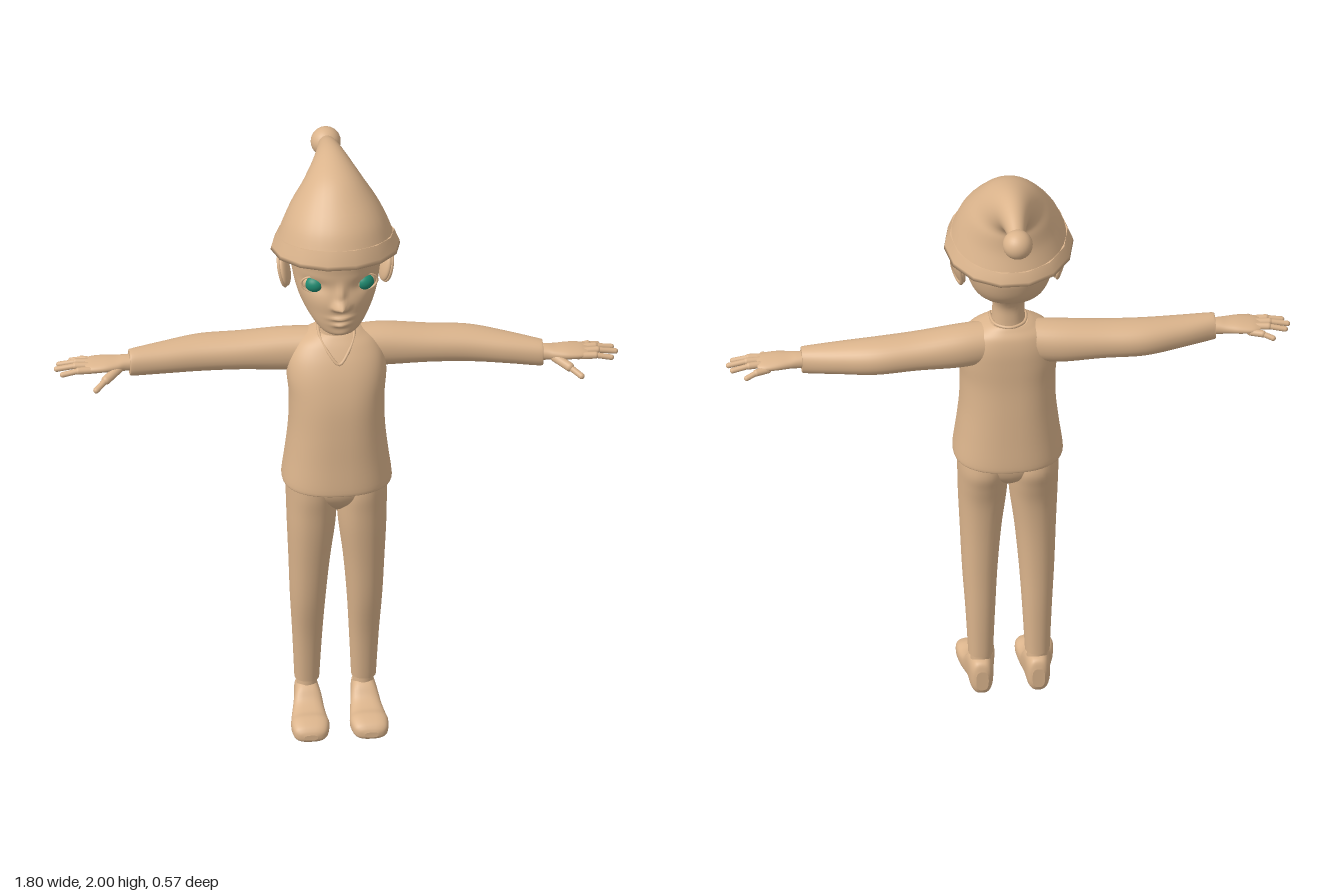
import * as THREE from 'three';

const tan = new THREE.MeshStandardMaterial({ color: 0xdbb48c });
tan.name = 'tan';
const teal = new THREE.MeshStandardMaterial({ color: 0x1f8a70 });
teal.name = 'teal';

// Smooth interpolation between cross-section rows
function smoothRows(rows, m) {
  const out = [], last = rows.length - 1;
  for (let i = 0; i < last; i++) {
    const [a, b, c, d] = [rows[Math.max(i - 1, 0)], rows[i], rows[i + 1], rows[Math.min(i + 2, last)]];
    for (let k = 0; k < m; k++) {
      const t = k / m;
      out.push(b.map((p, j) => {
        const cubic = 3 * (p - c[j]) + d[j] - a[j];
        const square = 2 * a[j] - 5 * p + 4 * c[j] - d[j];
        return p + 0.5 * t * (c[j] - a[j] + t * (square + t * cubic));
      }));
    }
  }
  out.push(rows[last]);
  return out;
}

// Skin a series of rings; ring(row, cos, sin) gives one point
function loft(rows, ring, { n = 32, m = 5, e = 2.2 } = {}) {
  const pos = [], idx = [], all = smoothRows(rows, m);
  const power = (v) => Math.sign(v) * Math.abs(v) ** (2 / e);
  const addRing = (row) => {
    for (let i = 0; i < n; i++) {
      const a = (i / n) * Math.PI * 2;
      pos.push(...ring(row, power(Math.cos(a)), power(Math.sin(a))));
    }
  };
  all.forEach(addRing);
  for (let j = 0; j < all.length - 1; j++) {
    for (let i = 0; i < n; i++) {
      const a = j * n + i, b = j * n + (i + 1) % n;
      idx.push(a, b, a + n, b, b + n, a + n);
    }
  }
  // End caps with their own vertices, so the edges stay crisp
  [all[0], all[all.length - 1]].forEach((row, end) => {
    const base = pos.length / 3;
    addRing(row);
    pos.push(...ring(row, 0, 0));
    for (let i = 0; i < n; i++) {
      const a = base + i, b = base + (i + 1) % n;
      idx.push(...(end ? [a, b, base + n] : [b, a, base + n]));
    }
  });
  // Turn the faces outward if the rings run the other way
  let volume = 0;
  const v = (i) => new THREE.Vector3().fromArray(pos, i * 3);
  for (let i = 0; i < idx.length; i += 3) volume += v(idx[i]).dot(v(idx[i + 1]).cross(v(idx[i + 2])));
  if (volume < 0) idx.reverse();
  const g = new THREE.BufferGeometry();
  g.setAttribute('position', new THREE.Float32BufferAttribute(pos, 3));
  g.setIndex(idx);
  g.computeVertexNormals();
  return g;
}

const span = (a, b, t) => (a + b) / 2 + ((b - a) / 2) * t;
// Row layouts: [y, x0, x1, z0, z1], [z, x0, x1, y0, y1] and [x, z0, z1, y0, y1]
const alongY = (r, c, s) => [span(r[1], r[2], c), r[0], span(r[3], r[4], s)];
const alongZ = (r, c, s) => [span(r[1], r[2], c), span(r[3], r[4], s), r[0]];
const alongX = (side, y) => (r, c, s) => [side * r[0], y + span(r[3], r[4], s), span(r[1], r[2], c)];
// Symmetric rows: [y, half width, back z, front z]
const centred = (rows) => rows.map(([y, w, b, f]) => [y, -w, w, b, f]);

// Raised and sunken face features: [x, y, spread x, spread y, height]
const features = [
  [0, 1.597, 0.017, 0.015, 0.038], [0, 1.635, 0.013, 0.03, 0.016],
  [0, 1.549, 0.03, 0.007, 0.013], [0, 1.525, 0.024, 0.008, 0.012], [0, 1.488, 0.03, 0.012, 0.004],
];
for (const s of [-1, 1]) {
  features.push([s * 0.02, 1.59, 0.009, 0.009, 0.012], [s * 0.078, 1.655, 0.036, 0.022, -0.012]);
}
function headRing(r, c, s) {
  const p = alongY(r, c, s);
  if (s > 0) {
    for (const [x, y, sx, sy, h] of features) {
      p[2] += h * Math.min(1, s * 2) * Math.exp(-(((p[0] - x) / sx) ** 2) - ((p[1] - y) / sy) ** 2);
    }
  }
  return p;
}

export function createModel() {
  const model = new THREE.Group();
  model.name = 'figure';
  const add = (name, geometry, material = tan, parent = model) => {
    const mesh = new THREE.Mesh(geometry, material);
    mesh.name = name;
    parent.add(mesh);
    return mesh;
  };

  // Head and neck
  add('head', loft(centred([
    [1.472, 0.025, 0.16, 0.208], [1.488, 0.058, 0.12, 0.23], [1.52, 0.088, 0.05, 0.237],
    [1.56, 0.115, -0.05, 0.24], [1.6, 0.13, -0.093, 0.242], [1.65, 0.14, -0.115, 0.234],
    [1.7, 0.145, -0.122, 0.236], [1.76, 0.15, -0.105, 0.235], [1.82, 0.12, -0.06, 0.19],
    [1.86, 0.05, -0.03, 0.1]]), headRing, { n: 96, m: 8 }));
  add('neck', loft(centred([
    [1.38, 0.06, 0.012, 0.13], [1.44, 0.052, 0.017, 0.124], [1.5, 0.053, 0.012, 0.125],
    [1.57, 0.07, -0.035, 0.14]]), alongY));

  // Eyes and ears
  for (const s of [-1, 1]) {
    const eye = new THREE.Group();
    eye.name = s > 0 ? 'leftEye' : 'rightEye';
    eye.position.set(s * 0.078, 1.655, 0.185);
    eye.rotation.y = s * 0.35;
    model.add(eye);
    const ball = new THREE.SphereGeometry(1, 28, 20);
    add('eyeball', ball, tan, eye).scale.set(0.04, 0.027, 0.028);
    const iris = add('iris', ball, teal, eye);
    iris.scale.set(0.031, 0.027, 0.026);
    iris.position.z = 0.007;
    const lid = add('eyelid', new THREE.TorusGeometry(0.041, 0.004, 8, 32), tan, eye);
    lid.scale.y = 0.68;
    lid.position.z = 0.014;

    const ear = new THREE.Group();
    ear.name = s > 0 ? 'leftEar' : 'rightEar';
    ear.position.set(s * 0.16, 1.63, 0.05);
    ear.rotation.set(-0.15, s * 0.4, s * -0.25, 'YXZ');
    model.add(ear);
    add('earShell', ball, tan, ear).scale.set(0.014, 0.054, 0.034);
    const rim = add('earRim', new THREE.TorusGeometry(0.03, 0.006, 8, 32), tan, ear);
    rim.rotation.y = Math.PI / 2;
    rim.scale.y = 1.65;
    rim.position.x = s * 0.008;
  }

  // Hat: rows are [front z, front y, back z, back y, half width]
  const hatRing = (r, c, s) => [r[4] * c, span(r[3], r[1], s), span(r[2], r[0], s)];
  add('hatCrown', loft([
    [0.243, 1.79, -0.126, 1.727, 0.185], [0.215, 1.845, -0.106, 1.79, 0.163],
    [0.165, 1.9, -0.1, 1.84, 0.135], [0.09, 1.96, -0.098, 1.862, 0.102],
    [0.005, 1.99, -0.106, 1.877, 0.075], [-0.075, 1.999, -0.125, 1.889, 0.053],
    [-0.15, 1.986, -0.16, 1.9, 0.037], [-0.215, 1.96, -0.205, 1.906, 0.026]],
  hatRing, { e: 2 }));
  add('hatBrim', loft([
    [0.235, 1.745, -0.115, 1.7, 0.175], [0.265, 1.738, -0.145, 1.688, 0.207],
    [0.262, 1.752, -0.143, 1.7, 0.204], [0.246, 1.798, -0.129, 1.732, 0.188]],
  hatRing, { n: 14, m: 1, e: 2 }));
  add('pompom', new THREE.SphereGeometry(0.048, 28, 20)).position.set(0, 1.925, -0.238);

  // Shirt
  add('shirt', loft(centred([
    [0.895, 0.17, -0.049, 0.241], [0.908, 0.175, -0.055, 0.247], [1, 0.163, -0.048, 0.241],
    [1.1, 0.153, -0.04, 0.235], [1.2, 0.152, -0.032, 0.225], [1.28, 0.159, -0.03, 0.206],
    [1.34, 0.152, -0.027, 0.182], [1.385, 0.125, -0.017, 0.155], [1.41, 0.085, -0.001, 0.135],
    [1.42, 0.062, 0.006, 0.125]]), alongY, { n: 48, e: 2.4 }));
  const collar = [[0, 1.345, 0.18], [0.03, 1.375, 0.16], [0.056, 1.417, 0.105], [0.045, 1.425, 0.03],
    [0, 1.425, 0.006], [-0.045, 1.425, 0.03], [-0.056, 1.417, 0.105], [-0.03, 1.375, 0.16]];
  add('collar', new THREE.TubeGeometry(new THREE.CatmullRomCurve3(
    collar.map((p) => new THREE.Vector3(...p)), true), 64, 0.005, 8, true));

  // Trousers seat
  add('trouserSeat', loft(centred([
    [0.79, 0.03, 0.04, 0.14], [0.83, 0.1, -0.005, 0.185], [0.87, 0.15, -0.02, 0.203],
    [0.92, 0.155, -0.02, 0.205]]), alongY));

  for (const s of [-1, 1]) {
    const side = s > 0 ? 'left' : 'right';

    // Leg, ankle and shoe
    const leg = new THREE.Group();
    leg.name = side + 'Leg';
    model.add(leg);
    const mirror = (rows) => rows.map(([t, a, b, c, d]) => [t, s * a, s * b, c, d]);
    add('trouserLeg', loft(mirror([
      [0.135, 0.051, 0.13, 0.01, 0.094], [0.3, 0.043, 0.138, 0.01, 0.118],
      [0.45, 0.034, 0.147, 0.013, 0.15], [0.6, 0.021, 0.153, 0.012, 0.172],
      [0.72, 0.006, 0.158, 0.003, 0.189], [0.8, 0, 0.16, -0.015, 0.198],
      [0.86, 0, 0.161, -0.029, 0.205], [0.92, 0.01, 0.161, -0.02, 0.205]]), alongY), tan, leg);
    add('ankle', new THREE.CylinderGeometry(0.032, 0.034, 0.07, 24), tan, leg).position.set(s * 0.09, 0.12, 0.05);
    add('shoe', loft(mirror([
      [-0.008, 0.07, 0.11, 0.02, 0.09], [0, 0.06, 0.12, 0.005, 0.114], [0.02, 0.053, 0.128, 0, 0.123],
      [0.06, 0.049, 0.132, 0, 0.123], [0.09, 0.045, 0.136, 0, 0.11], [0.12, 0.041, 0.143, 0, 0.08],
      [0.16, 0.036, 0.151, 0, 0.065], [0.2, 0.033, 0.155, 0, 0.067], [0.235, 0.041, 0.15, 0, 0.055],
      [0.25, 0.055, 0.137, 0.004, 0.042], [0.256, 0.075, 0.118, 0.012, 0.03]]),
    alongZ, { e: 2.8 }), tan, leg);

    // Sleeve and hand; the left arm hangs slightly lower
    const arm = new THREE.Group();
    arm.name = side + 'Arm';
    model.add(arm);
    const wrist = s > 0 ? 1.295 : 1.335, lift = 1.337 - wrist;
    add('sleeve', loft([
      [0.06, -0.01, 0.12, lift - 0.06, lift + 0.073], [0.16, -0.024, 0.113, lift - 0.066, lift + 0.07],
      [0.3, -0.026, 0.108, lift * 0.8 - 0.057, lift * 0.8 + 0.06],
      [0.43, -0.026, 0.106, lift * 0.6 - 0.055, lift * 0.6 + 0.056],
      [0.55, 0.005, 0.113, lift * 0.3 - 0.049, lift * 0.3 + 0.049], [0.645, 0.036, 0.117, -0.044, 0.044],
      [0.66, 0.04, 0.115, -0.04, 0.04]], alongX(s, wrist)), tan, arm);
    add('palm', loft([
      [0.62, 0.05, 0.105, -0.025, 0.025], [0.67, 0.047, 0.109, -0.024, 0.024],
      [0.7, 0.042, 0.117, -0.021, 0.021], [0.74, 0.034, 0.124, -0.019, 0.019],
      [0.78, 0.032, 0.122, -0.017, 0.014], [0.803, 0.042, 0.113, -0.01, 0.008]], alongX(s, wrist)), tan, arm);
    const segment = (name, a, b, r) => {
      const [p, q] = [a, b].map(([x, y, z]) => new THREE.Vector3(s * x, wrist + y, z));
      const d = q.clone().sub(p);
      const mesh = add(name, new THREE.CapsuleGeometry(r, d.length(), 6, 14), tan, arm);
      mesh.position.copy(p).addScaledVector(d, 0.5);
      mesh.quaternion.setFromUnitVectors(new THREE.Vector3(0, 1, 0), d.normalize());
    };
    // Fingers: [base z, tip x, tip z, height]
    const fingers = [[0.043, 0.84, 0.017, -0.008], [0.065, 0.882, 0.052, 0], [0.088, 0.892, 0.081, 0],
      [0.109, 0.876, 0.112, -0.004]];
    for (const [z, tx, tz, h] of fingers) {
      const mid = [(0.775 + tx) / 2, h, (z + tz) / 2];
      segment('fingerBase', [0.77, h, z], mid, 0.0115);
      segment('fingerTip', mid, [tx, h - 0.01, tz], 0.009);
    }
    segment('thumbBase', [0.695, -0.008, 0.1], [0.74, -0.025, 0.14], 0.015);
    segment('thumbTip', [0.74, -0.025, 0.14], [0.775, -0.042, 0.173], 0.01);
  }
  return model;
}
